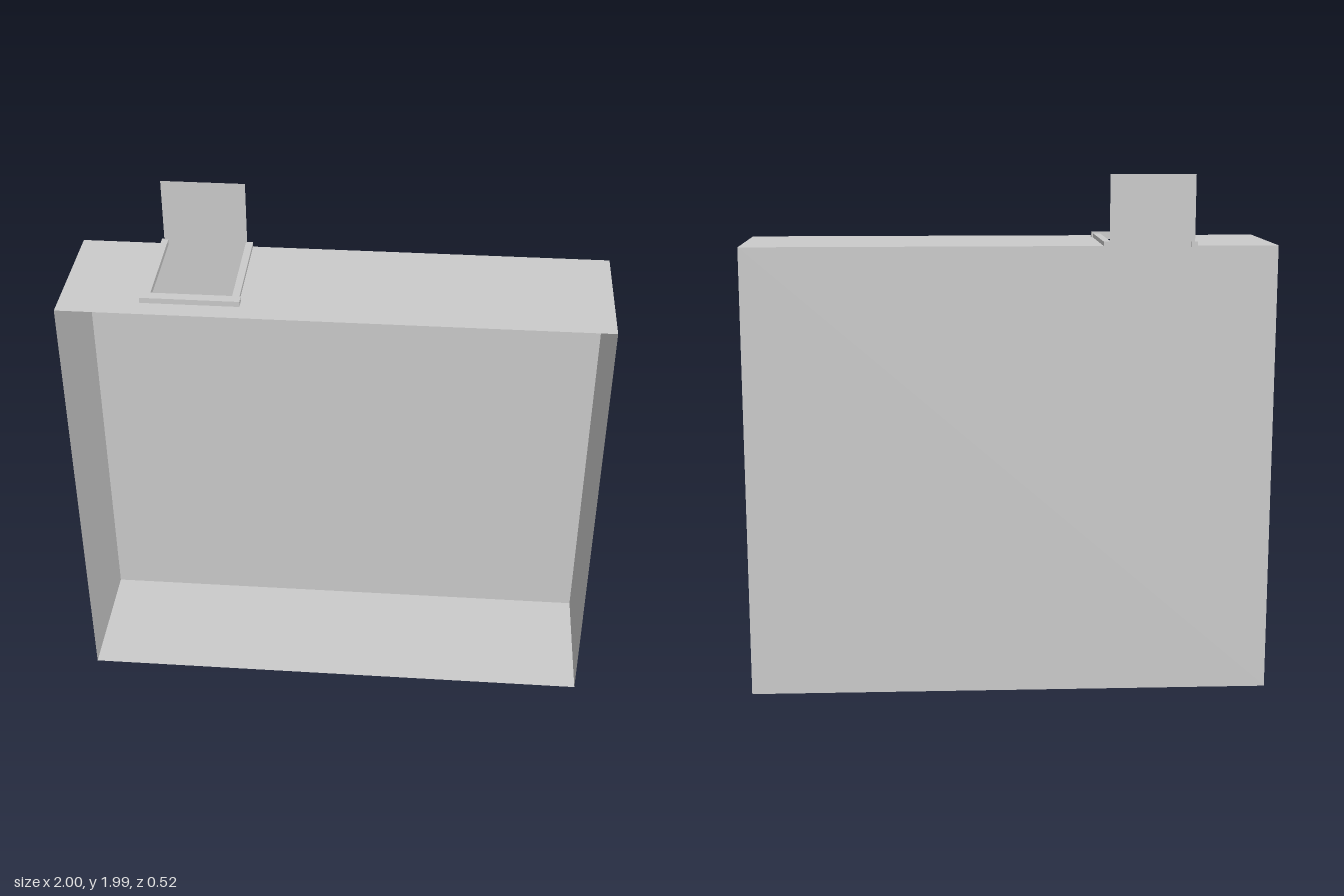
import * as THREE from 'three';

const W = 1, H = 1.727, ZB = -0.257, ZF = 0.26;      // body half width, height, back and front
const FLAP = { l: -0.687, r: -0.369, top: 1.99 };    // flap above the slot
const SLOT_FRONT = 0.15;

export function createModel() {
  const group = new THREE.Group();
  const sheetMat = new THREE.MeshStandardMaterial({ color: 0xcccccc, side: THREE.DoubleSide, flatShading: true });
  const solidMat = new THREE.MeshStandardMaterial({ color: 0xcccccc, flatShading: true });

  const add = (name, geometry, material) => {
    const mesh = new THREE.Mesh(geometry, material);
    mesh.name = name;
    group.add(mesh);
    return mesh;
  };
  const sheet = (points) =>
    new THREE.ShapeGeometry(new THREE.Shape(points.map(([x, y]) => new THREE.Vector2(x, y))));
  const bar = (name, x0, x1, y0, y1, z0, z1) =>
    add(name, new THREE.BoxGeometry(x1 - x0, y1 - y0, z1 - z0), solidMat)
      .position.set((x0 + x1) / 2, (y0 + y1) / 2, (z0 + z1) / 2);

  // Back wall, running up into the raised flap
  add('backWallWithFlap', sheet([
    [-W, 0], [W, 0], [W, H], [FLAP.r, H], [FLAP.r, FLAP.top], [FLAP.l, FLAP.top], [FLAP.l, H], [-W, H],
  ]).rotateY(Math.PI).scale(-1, 1, 1).translate(0, 0, ZB), sheetMat);

  // Side walls; the front stays open
  const depth = ZF - ZB, zMid = (ZF + ZB) / 2;
  for (const [name, s] of [['leftWall', 1], ['rightWall', -1]]) {
    add(name, new THREE.PlaneGeometry(depth, H).rotateY(s * Math.PI / 2).translate(s * W, H / 2, zMid), sheetMat);
  }
  add('floor', new THREE.PlaneGeometry(2 * W, depth).rotateX(Math.PI / 2).translate(0, 0, zMid), sheetMat);

  // Top sheet with a slot cut in from the back edge (shape y becomes -z)
  add('top', sheet([
    [-W, -ZF], [W, -ZF], [W, -ZB], [FLAP.r, -ZB], [FLAP.r, -SLOT_FRONT],
    [FLAP.l, -SLOT_FRONT], [FLAP.l, -ZB], [-W, -ZB],
  ]).rotateX(-Math.PI / 2).translate(0, H, 0), sheetMat);

  // Raised frame around the slot
  bar('frameRightRail', -0.697, -0.672, 1.722, 1.743, -0.262, 0.147);
  bar('frameLeftRail', -0.374, -0.347, 1.722, 1.743, -0.262, 0.147);
  bar('frameFrontRail', -0.705, -0.342, 1.72, 1.748, 0.145, 0.184);

  return group;
}
